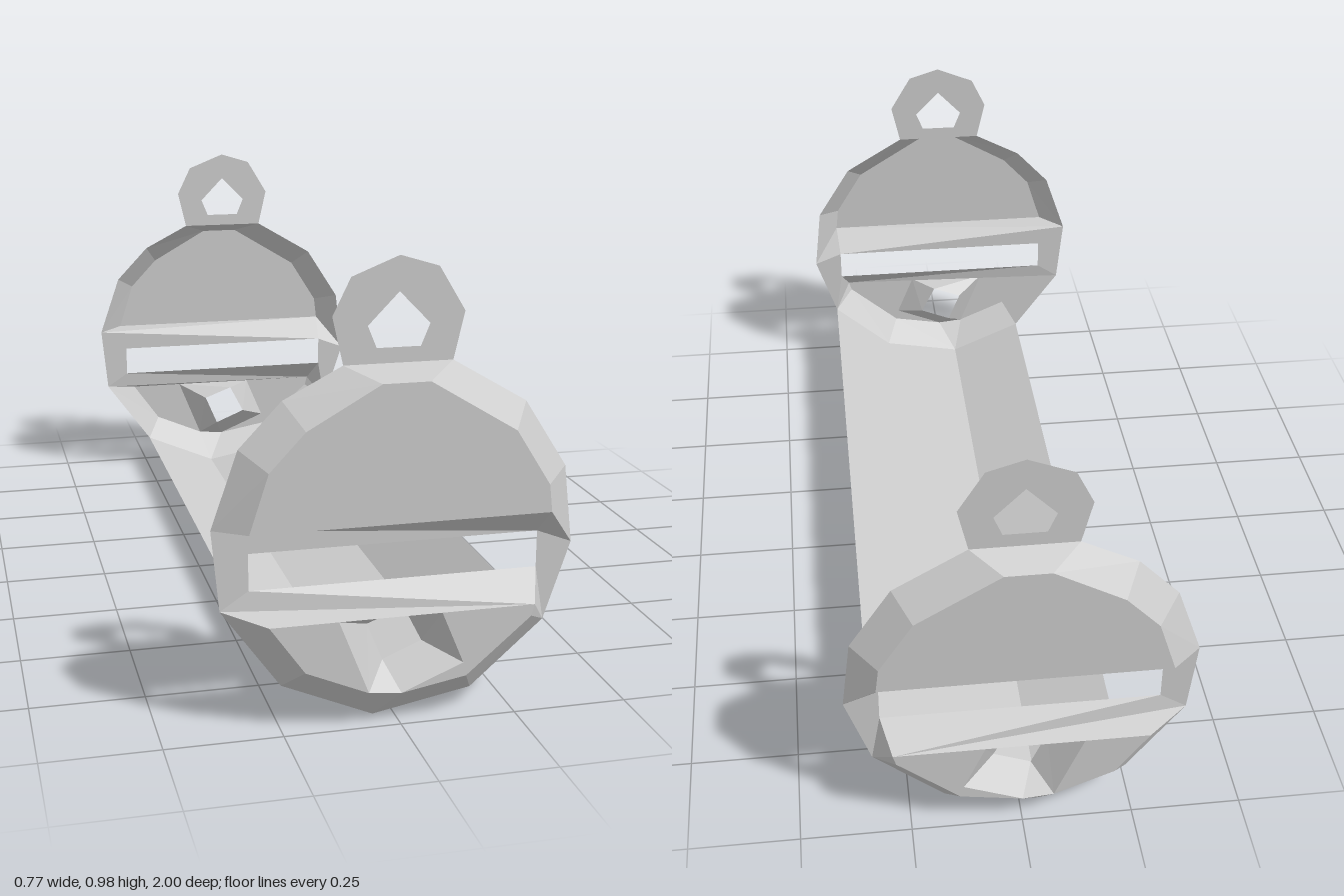
import * as THREE from 'three';

const INNER = 0.94, OUTER = 1;

export function createModel() {
  const grey = new THREE.MeshStandardMaterial({ color: 0xcccccc, side: THREE.DoubleSide });
  grey.name = 'light grey';

  const mesh = (name, geometry) => {
    const m = new THREE.Mesh(geometry, grey);
    m.name = name;
    return m;
  };
  const toPoints = (list) => list.map(([x, y]) => new THREE.Vector2(x, y));

  // Flat sheet cut to an outline, with an optional opening
  const sheet = (name, outline, z, hole) => {
    const shape = new THREE.Shape(toPoints(outline));
    if (hole) shape.holes.push(new THREE.Path(toPoints(hole)));
    return mesh(name, new THREE.ShapeGeometry(shape).translate(0, 0, z));
  };

  // Faceted band between two outlines; repeated points make triangles
  const band = (name, a, za, b, zb, closed = true) => {
    const pos = [];
    const same = (p, q) => p[0] === q[0] && p[1] === q[1];
    const n = a.length;
    for (let i = 0; i < (closed ? n : n - 1); i++) {
      const j = (i + 1) % n;
      if (!same(a[i], a[j])) pos.push(...a[i], za, ...a[j], za, ...b[j], zb);
      if (!same(b[i], b[j])) pos.push(...a[i], za, ...b[j], zb, ...b[i], zb);
    }
    const g = new THREE.BufferGeometry();
    g.setAttribute('position', new THREE.Float32BufferAttribute(pos, 3));
    g.computeVertexNormals();
    return mesh(name, g);
  };

  // Shared corners around the slot, on the inner plane
  const upperLeft = [-0.387, 0.435], upperRight = [0.387, 0.35];
  const lowerLeft = [-0.37, 0.26], lowerRight = [0.33, 0.18];
  const slotTL = [-0.31, 0.38], slotTR = [0.31, 0.38];
  const slotBL = [-0.31, 0.3], slotBR = [0.31, 0.3];
  const troughProfile = [[-0.243, 0.085], [-0.045, 0], [0.17, 0.04], lowerRight];

  const createEnd = (name) => {
    const end = new THREE.Group();
    end.name = name;

    // Upper raised half
    const upperFace = [[-0.32, 0.44], [-0.28, 0.565], [-0.205, 0.645], [-0.05, 0.733],
      [0.05, 0.733], [0.235, 0.62], [0.31, 0.5], [0.317, 0.44]];
    const upperRim = [upperLeft, [-0.33, 0.6], [-0.24, 0.695], [-0.115, 0.76],
      [0.115, 0.76], [0.275, 0.665], [0.367, 0.52], upperRight];
    const ur = upperFace[7];
    end.add(sheet('upperFace', upperFace, OUTER));
    end.add(band('upperBevel', [...upperRim, slotTR, upperLeft], INNER,
      [...upperFace, ur, ur], OUTER));

    // Lower raised half, with its face split around the skewed opening
    const lowerFace = [[-0.28, 0.24], [-0.205, 0.135], [-0.07, 0.077], [0, 0.07],
      [0.14, 0.095], [0.28, 0.215], [0.287, 0.24]];
    const lr = lowerFace[6];
    const [p0, p1, p2, p3] = troughProfile;
    end.add(band('lowerBevel',
      [lowerLeft, p0, p1, p1, p2, p3, p3, slotBR, slotBL, lowerLeft], INNER,
      [...lowerFace, lr, lr, lr], OUTER));
    const opening = [[-0.135, 0.24], [0.085, 0.24], [0.133, 0.125], lowerFace[3], lowerFace[2]];
    end.add(sheet('lowerFaceLeftPart', [...lowerFace.slice(0, 3), opening[0]], OUTER));
    end.add(sheet('lowerFaceRightPart', [...lowerFace.slice(3), opening[1], opening[2]], OUTER));
    const back = [[-0.06, 0.205], [0.02, 0.235], [0.06, 0.157], [-0.025, 0.122]];
    end.add(band('openingWalls', opening, OUTER, [...back, back[3]], INNER));

    // Recessed surround of the slot
    end.add(sheet('slotSurroundLeft', [upperLeft, lowerLeft, slotBL, slotTL, slotTR], INNER));
    end.add(sheet('slotSurroundRight', [slotTR, slotBR, lowerRight, upperRight], INNER));

    // Hanging loop
    end.add(sheet('hangingLoop',
      [[-0.115, 0.76], [-0.138, 0.86], [-0.1, 0.938], [0, 0.978], [0.082, 0.953],
        [0.138, 0.86], [0.115, 0.76]], INNER,
      [[0, 0.905], [0.065, 0.838], [0.046, 0.792], [-0.046, 0.792], [-0.065, 0.838]]));
    return end;
  };

  const model = new THREE.Group();
  model.name = 'hangingTrough';
  const front = createEnd('frontEnd');
  const rear = createEnd('rearEnd');
  rear.scale.z = -1;
  // Open trough joining the two ends
  const trough = band('trough', troughProfile, INNER, troughProfile, -INNER, false);
  model.add(front, rear, trough);
  return model;
}
